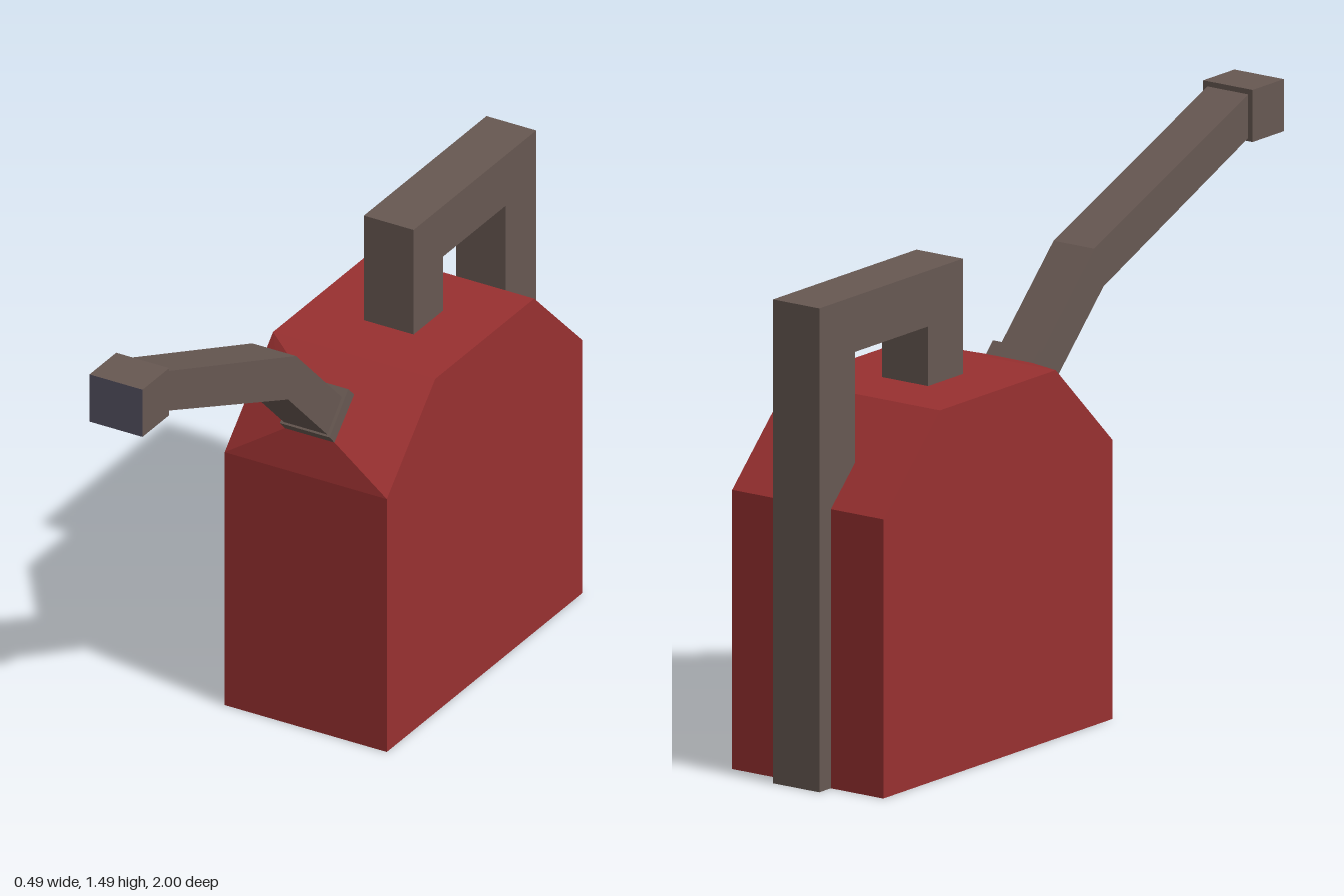
import * as THREE from 'three';
import { ConvexGeometry } from 'three/addons/geometries/ConvexGeometry.js';

const mat = (name, color) => {
  const m = new THREE.MeshStandardMaterial({ color });
  m.name = name;
  return m;
};

// Extrudes a side profile of [z, y] points across x, centred on x = 0
function sideExtrude(name, points, width, material) {
  const shape = new THREE.Shape(points.map(([z, y]) => new THREE.Vector2(z, y)));
  const geo = new THREE.ExtrudeGeometry(shape, { depth: width, bevelEnabled: false });
  geo.translate(0, 0, -width / 2).rotateY(-Math.PI / 2);
  const mesh = new THREE.Mesh(geo, material);
  mesh.name = name;
  return mesh;
}

export function createModel() {
  const red = mat('red', 0x983030);
  const grey = mat('warm grey', 0x675852);
  const slate = mat('slate', 0x555162);
  const group = new THREE.Group();
  group.name = 'wateringCan';

  // Tank: sloped shoulders, with the front one rising to a small spout seat
  const corners = [];
  const addPair = (x, y, z) => {
    for (const s of [-1, 1]) corners.push(new THREE.Vector3(s * x, y, z));
  };
  for (const [z, y] of [[0.04, 0], [0.04, 0.75], [-0.205, 0.99], [-0.705, 0.99], [-0.95, 0.75], [-0.95, 0]]) {
    addPair(0.245, y, z);
  }
  addPair(0.075, 0.86, 0.02);
  addPair(0.075, 0.955, -0.08);
  const tank = new THREE.Mesh(new ConvexGeometry(corners), red);
  tank.name = 'tank';
  group.add(tank);

  // Handle: front post, top bar and a rear strip down to the ground
  group.add(sideExtrude('handle', [
    [-0.38, 0.98], [-0.38, 1.3], [-1, 1.3], [-1, 0], [-0.95, 0], [-0.94, 0.7],
    [-0.845, 0.8], [-0.845, 1.15], [-0.53, 1.15], [-0.53, 0.98],
  ], 0.15, grey));

  // Collar and bent spout
  group.add(sideExtrude('spoutCollar', [
    [0.02, 0.86], [0.045, 0.887], [-0.05, 0.985], [-0.08, 0.955],
  ], 0.15, grey));
  group.add(sideExtrude('spout', [
    [0.015, 0.865], [0.24, 1.09], [0.88, 1.36], [0.88, 1.477], [0.2, 1.2], [-0.06, 0.94],
  ], 0.132, grey));

  // Nozzle with a slate front face
  const nozzle = new THREE.Mesh(
    new THREE.BoxGeometry(0.16, 0.14, 0.135),
    [grey, grey, grey, grey, slate, grey],
  );
  nozzle.name = 'nozzle';
  nozzle.position.set(0, 1.415, 0.9325);
  group.add(nozzle);

  return group;
}
